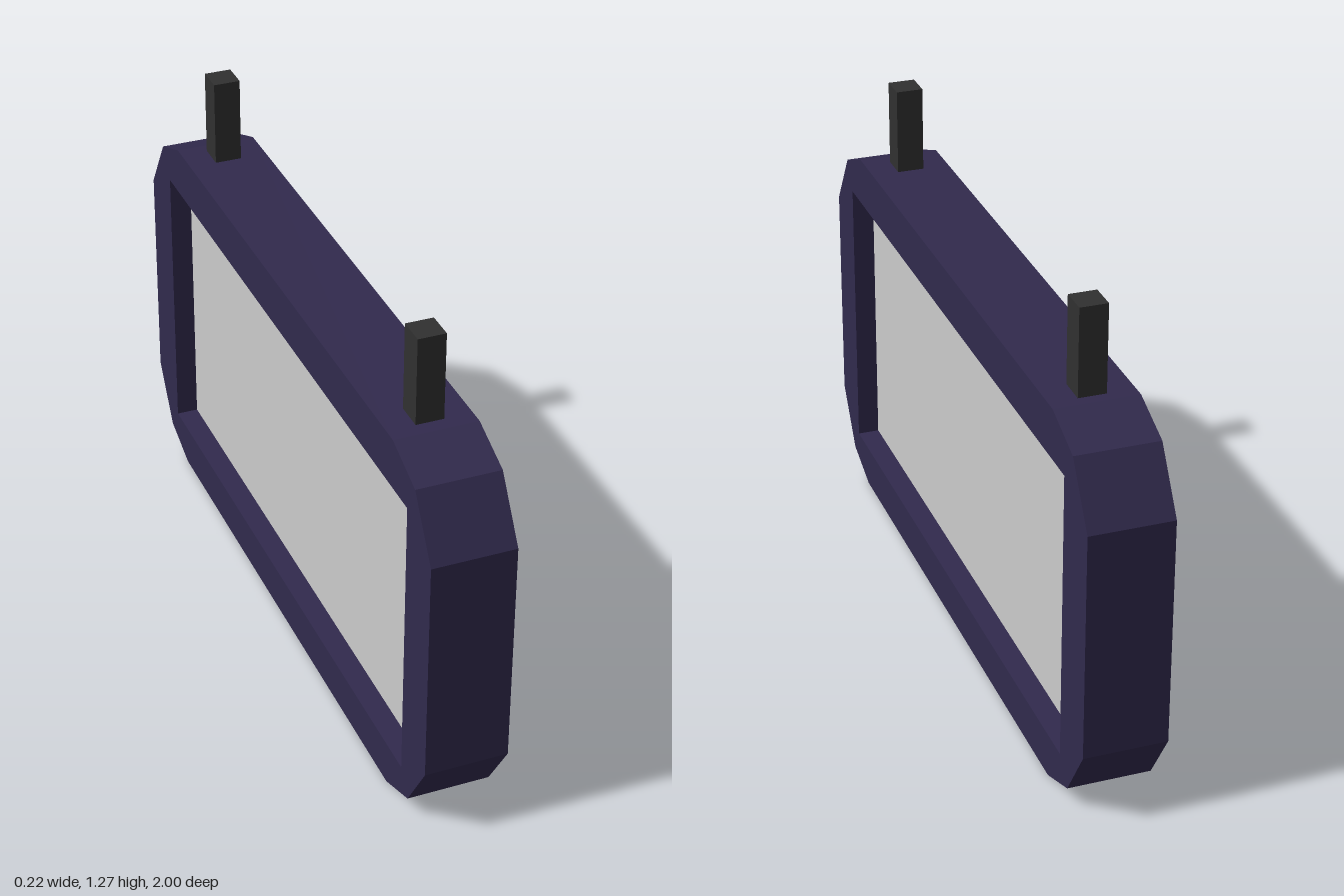
import * as THREE from 'three';

const frameMat = new THREE.MeshStandardMaterial({ color: 0x312a4d });
const postMat = new THREE.MeshStandardMaterial({ color: 0x303030 });
const panelMat = new THREE.MeshStandardMaterial({ color: 0xcccccc });

const DEPTH = 0.22; // frame thickness along x
const HEIGHT = 1.04;
const MID = HEIGHT / 2;

function addBox(group, name, size, position, material) {
  const mesh = new THREE.Mesh(new THREE.BoxGeometry(...size), material);
  mesh.name = name;
  mesh.position.set(...position);
  group.add(mesh);
}

// Chamfered outline, mirrored from one corner, with a rectangular opening
function frameGeometry(opening) {
  const corner = [[1, 0.31], [0.9, 0.467], [0.766, MID]];
  const back = [...corner].reverse();
  const outline = [
    ...corner,
    ...back.map(([z, y]) => [-z, y]),
    ...corner.map(([z, y]) => [-z, -y]),
    ...back.map(([z, y]) => [z, -y]),
  ].map(([z, y]) => new THREE.Vector2(z, y + MID));
  const shape = new THREE.Shape(outline);

  const { z0, z1, y0, y1 } = opening;
  shape.holes.push(new THREE.Path([
    new THREE.Vector2(z0, y0), new THREE.Vector2(z0, y1),
    new THREE.Vector2(z1, y1), new THREE.Vector2(z1, y0),
  ]));

  const geometry = new THREE.ExtrudeGeometry(shape, { depth: DEPTH, bevelEnabled: false });
  geometry.translate(0, 0, -DEPTH / 2);
  geometry.rotateY(-Math.PI / 2); // outline runs along z
  return geometry;
}

export function createModel() {
  const model = new THREE.Group();
  model.name = 'hangingSign';

  const opening = { z0: -0.847, z1: 0.857, y0: 0.12, y1: 0.907 };
  const frame = new THREE.Mesh(frameGeometry(opening), frameMat);
  frame.name = 'frame';
  model.add(frame);

  // Panel recessed on both sides
  const { z0, z1, y0, y1 } = opening;
  addBox(model, 'panel', [0.1, y1 - y0, z1 - z0], [0, (y0 + y1) / 2, (z0 + z1) / 2], panelMat);

  // Hanging posts
  const top = 1.275;
  for (const [name, z] of [['frontPost', 0.69], ['backPost', -0.698]]) {
    addBox(model, name, [0.073, top - HEIGHT, 0.075], [0, (top + HEIGHT) / 2, z], postMat);
  }
  return model;
}
